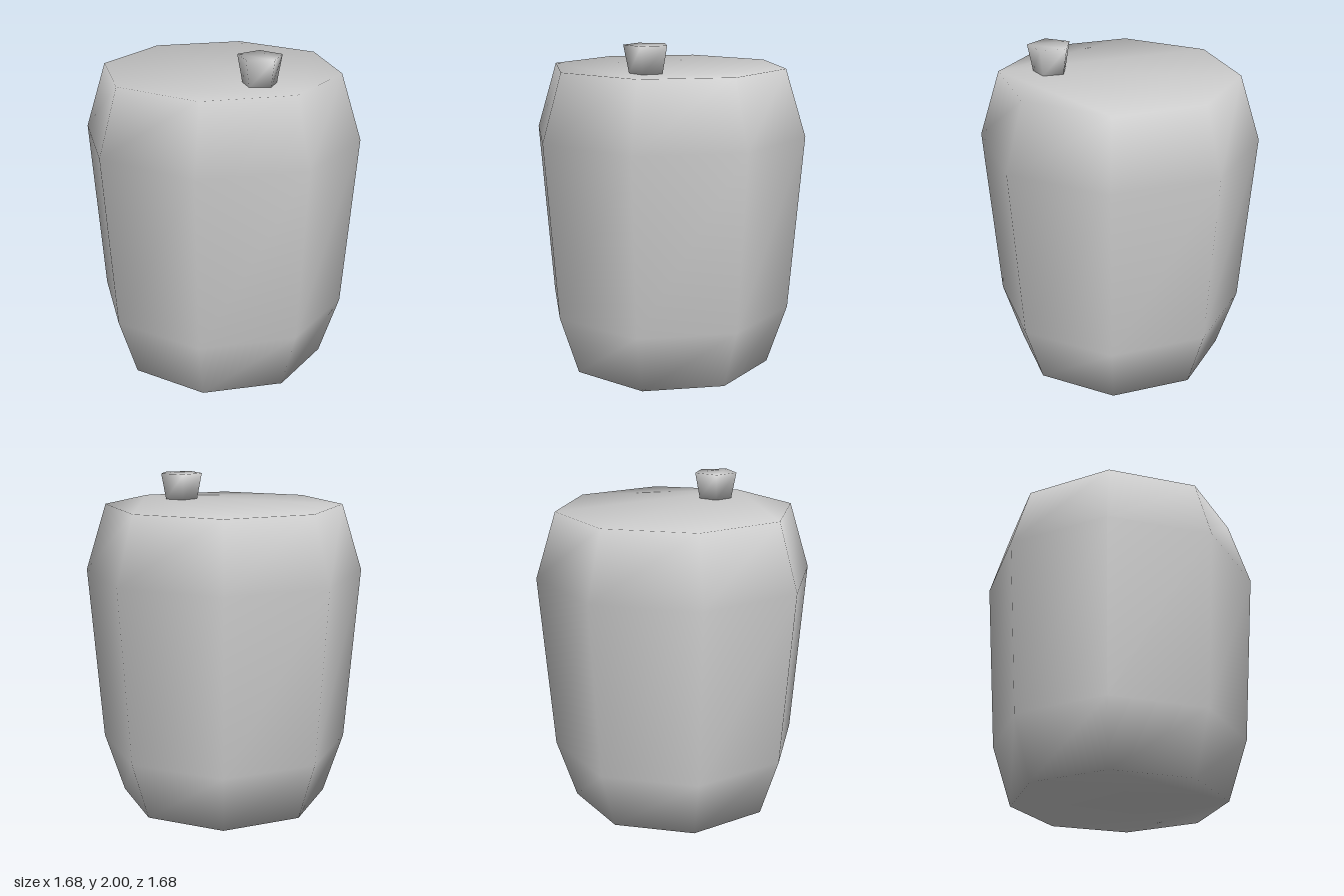
import * as THREE from 'three';

// Closed, smooth-shaded solid with shared vertices; rings are [radius, y] from bottom to top
function ringSolid(rings, sides) {
  const positions = [];
  const index = [];
  for (const [r, y] of rings) {
    for (let i = 0; i < sides; i++) {
      const a = Math.PI / 2 + (i / sides) * Math.PI * 2;
      positions.push(r * Math.sin(a), y, r * Math.cos(a));
    }
  }
  for (let k = 0; k < rings.length - 1; k++) {
    for (let i = 0; i < sides; i++) {
      const j = (i + 1) % sides;
      const b = k * sides;
      const t = b + sides;
      index.push(b + i, b + j, t + j, b + i, t + j, t + i);
    }
  }
  // end caps share the rim vertices, so the rim shades softly
  const top = (rings.length - 1) * sides;
  for (let i = 1; i < sides - 1; i++) {
    index.push(top, top + i, top + i + 1);
    index.push(0, i + 1, i);
  }
  const geometry = new THREE.BufferGeometry();
  geometry.setAttribute('position', new THREE.Float32BufferAttribute(positions, 3));
  geometry.setIndex(index);
  geometry.computeVertexNormals();
  return geometry;
}

export function createModel() {
  const group = new THREE.Group();
  group.name = 'barrel';
  const grey = new THREE.MeshStandardMaterial({ color: 0xcccccc });
  grey.name = 'light grey';

  // eight-sided bulging body
  const body = new THREE.Mesh(
    ringSolid([[0.64, 0], [0.76, 0.37], [0.84, 1.44], [0.715, 1.84]], 8), grey);
  body.name = 'body';
  group.add(body);

  // five-sided tapered stopper on the lid
  const stopper = new THREE.Mesh(ringSolid([[0.103, 0], [0.134, 0.16]], 5), grey);
  stopper.name = 'stopper';
  stopper.position.set(0.408, 1.84, 0.023);
  group.add(stopper);

  return group;
}
